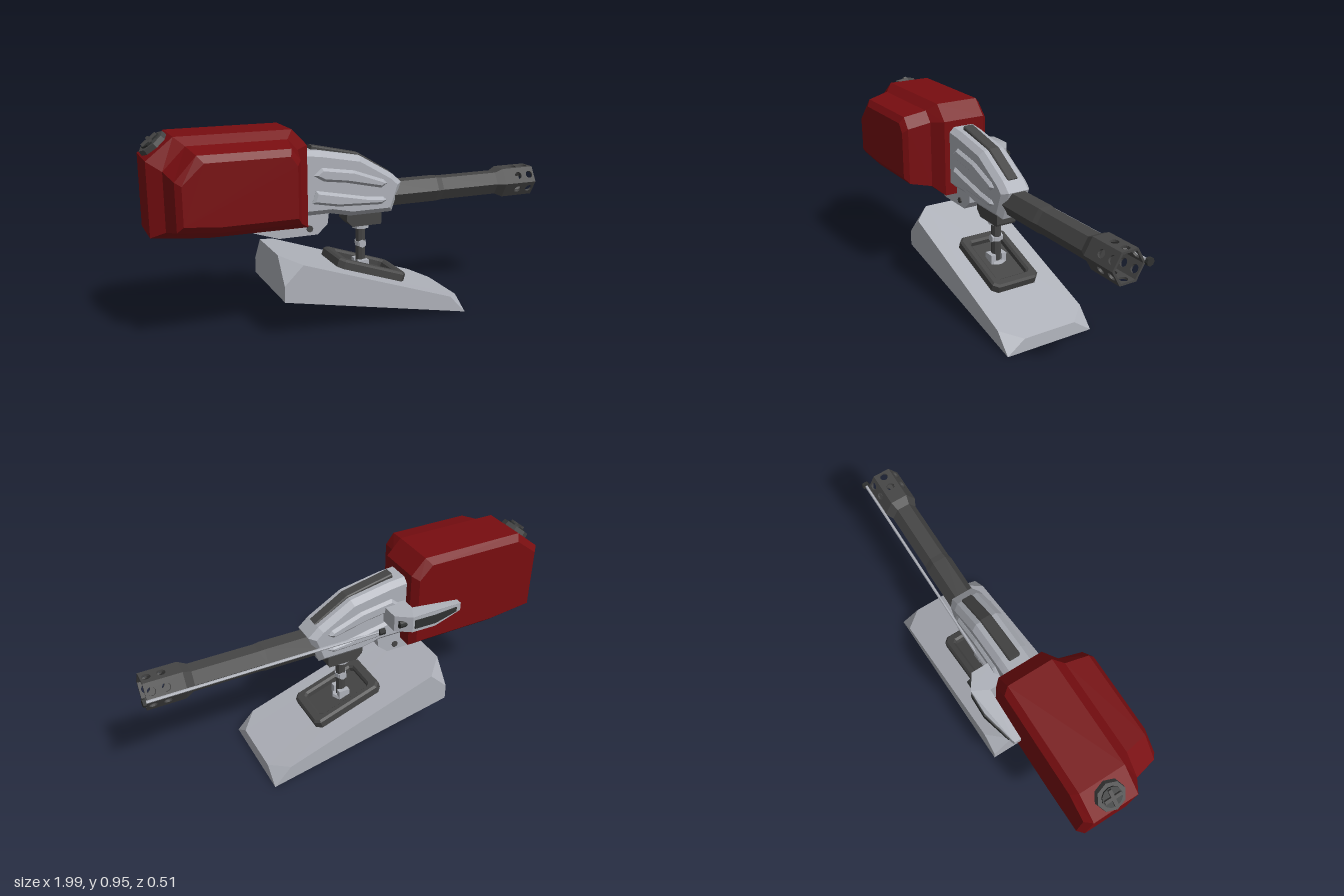
import * as THREE from 'three';

const red = new THREE.MeshStandardMaterial({ color: 0x780d10, name: 'deepRed' });
const light = new THREE.MeshStandardMaterial({ color: 0xaeb1b9, name: 'lightGrey', side: THREE.DoubleSide });
const dark = new THREE.MeshStandardMaterial({ color: 0x454545, name: 'darkGrey', side: THREE.DoubleSide });
const black = new THREE.MeshStandardMaterial({ color: 0x2f3131, name: 'charcoal' });
const ZC = -0.025; // centre plane of the gun

// Faceted mesh with a name and position
function part(parent, name, geo, mat, x = 0, y = 0, z = 0) {
  const g = geo.index ? geo.toNonIndexed() : geo;
  g.computeVertexNormals();
  const m = new THREE.Mesh(g, mat);
  m.name = name;
  m.position.set(x, y, z);
  parent.add(m);
  return m;
}

function outline(pts) {
  return new THREE.Shape(pts.map(([x, y]) => new THREE.Vector2(x, y)));
}

// Outline in x-y, extruded symmetrically about z = 0, with an optional chamfer inside the outline
function slab(pts, width, bevel = 0) {
  const depth = width - 2 * bevel;
  const g = new THREE.ExtrudeGeometry(outline(pts), {
    depth, bevelEnabled: bevel > 0, bevelSize: bevel, bevelThickness: bevel, bevelOffset: -bevel, bevelSegments: 1,
  });
  return g.translate(0, 0, -depth / 2);
}

// Cylinder along x from x0 to x1
function tubeX(x0, x1, r0, r1, sides, open = false) {
  return new THREE.CylinderGeometry(r1, r0, x1 - x0, sides, 1, open).rotateZ(-Math.PI / 2).translate((x0 + x1) / 2, 0, 0);
}

// Flat polygons fanned into triangles
function fromPolygons(polys) {
  const v = [];
  for (const p of polys) for (let i = 1; i < p.length - 1; i++) v.push(...p[0], ...p[i], ...p[i + 1]);
  const g = new THREE.BufferGeometry();
  g.setAttribute('position', new THREE.Float32BufferAttribute(v, 3));
  return g;
}

// Skin over counter-clockwise x-y sections given in order of rising z
function loft(sections) {
  const rings = sections.map(([z, pts]) => pts.map(([x, y]) => [x, y, z]));
  const polys = [[...rings[0]].reverse(), rings[rings.length - 1]];
  for (let i = 0; i < rings.length - 1; i++) {
    rings[i].forEach((a, j) => {
      const k = (j + 1) % rings[i].length;
      polys.push([a, rings[i][k], rings[i + 1][k], rings[i + 1][j]]);
    });
  }
  return fromPolygons(polys);
}

// Chamfered rectangle
function rect(l, w, c) {
  const a = l / 2, b = w / 2;
  return [[-a + c, -b], [a - c, -b], [a, -b + c], [a, b - c], [a - c, b], [-a + c, b], [-a, b - c], [-a, -b + c]];
}

function makeBase() {
  const g = new THREE.Group();
  g.name = 'base';
  // Wedge shell, open underneath
  const P = (x, y, w) => [x, y, w];
  const A = P(-0.44, 0.385, 0.138), B = P(-0.35, 0.354, 0.23), H = P(-0.44, 0.265, 0.23);
  const C = P(-0.44, 0.19, 0.23), D = P(0.405, 0.093, 0.23), E = P(0.485, 0.065, 0.138), F = P(0.49, 0.002, 0.23);
  const flip = ([x, y, z]) => [x, y, -z];
  const sides = [[H, C, F, D, B], [A, H, B], [D, F, E]];
  const polys = [
    ...sides, ...sides.map((p) => p.map(flip).reverse()),
    [A, B, D, E, flip(E), flip(D), flip(B), flip(A)],
    [E, F, flip(F), flip(E)],
    [A, flip(A), flip(H), flip(C), C, H],
  ];
  part(g, 'wedgeShell', fromPolygons(polys), light, 0, 0, ZC);

  // Recessed mounting plate lying on the slope
  const tray = new THREE.Group();
  tray.name = 'mountingPlate';
  tray.position.set(0.035, 0.22, ZC);
  tray.rotation.z = -Math.atan(0.346);
  const frame = outline(rect(0.37, 0.255, 0.025));
  frame.holes.push(new THREE.Path(rect(0.27, 0.17, 0.012).map(([x, y]) => new THREE.Vector2(x, y))));
  const rim = new THREE.ExtrudeGeometry(frame, {
    depth: 0.035, bevelSize: 0.01, bevelThickness: 0.01, bevelOffset: -0.01, bevelSegments: 1,
  }).rotateX(-Math.PI / 2);
  part(tray, 'plateRim', rim, dark);
  part(tray, 'plateFloor', new THREE.BoxGeometry(0.3, 0.03, 0.2), dark, 0, -0.003, 0);
  part(tray, 'undersideNut', new THREE.CylinderGeometry(0.05, 0.05, 0.03, 6), light, 0, -0.03, 0);
  g.add(tray);
  return g;
}

function makePivot() {
  const g = new THREE.Group();
  g.name = 'pivot';
  g.position.set(0.025, 0, ZC);
  part(g, 'post', new THREE.CylinderGeometry(0.024, 0.024, 0.23, 8), dark, 0, 0.325, 0);
  part(g, 'postCollar', new THREE.CylinderGeometry(0.04, 0.045, 0.012, 8), light, 0, 0.232, 0);
  for (const s of [-1, 1]) part(g, 'postClamp', new THREE.BoxGeometry(0.055, 0.055, 0.026), light, 0, 0.245, s * 0.029);
  part(g, 'postJoint', new THREE.CylinderGeometry(0.02, 0.02, 0.06, 6).rotateX(Math.PI / 2), light, 0, 0.352, 0);
  part(g, 'jointRing', new THREE.CylinderGeometry(0.028, 0.028, 0.022, 8), light, 0, 0.352, 0);
  part(g, 'swivelNut', new THREE.CylinderGeometry(0.042, 0.042, 0.022, 8), light, 0, 0.442, 0);
  part(g, 'swivelBlock', slab([[-0.09, 0.48], [-0.06, 0.45], [0.085, 0.45], [0.09, 0.46], [0.09, 0.52], [-0.09, 0.52]], 0.104), dark);
  return g;
}

function makeTank() {
  const g = new THREE.Group();
  g.name = 'ammoTank';
  const full = [[-0.99, 0.52], [-0.75, 0.493], [-0.28, 0.49], [-0.28, 0.87], [-0.35, 0.945], [-0.87, 0.945], [-0.99, 0.85]];
  const inset = (d) => full.map(([x, y]) => [-0.635 + (x + 0.635) * (1 - d / 0.355), 0.718 + (y - 0.718) * (1 - d / 0.227)]);
  part(g, 'tankShell', loft([
    [-0.168, inset(0.028)], [-0.138, full], [0.08, full],
    [0.125, [[-0.93, 0.55], [-0.72, 0.53], [-0.34, 0.53], [-0.34, 0.86], [-0.385, 0.91], [-0.83, 0.91], [-0.93, 0.81]]],
    [0.235, [[-0.905, 0.573], [-0.72, 0.555], [-0.365, 0.555], [-0.365, 0.835], [-0.405, 0.888], [-0.81, 0.888], [-0.905, 0.785]]],
    [0.258, [[-0.88, 0.6], [-0.72, 0.585], [-0.385, 0.585], [-0.385, 0.815], [-0.415, 0.858], [-0.785, 0.858], [-0.88, 0.77]]],
  ]), red);
  // Filler cap on the rear chamfer
  const cap = new THREE.Group();
  cap.name = 'fillerCap';
  cap.position.set(-0.93, 0.897, -0.03);
  cap.rotation.z = Math.atan2(0.095, 0.12);
  part(cap, 'capRim', new THREE.CylinderGeometry(0.066, 0.07, 0.03, 8), dark, 0, 0.008, 0);
  part(cap, 'capDisc', new THREE.CylinderGeometry(0.046, 0.046, 0.012, 12), black, 0, 0.024, 0);
  for (const a of [0, Math.PI / 2]) part(cap, 'capHandle', new THREE.BoxGeometry(0.08, 0.02, 0.016), dark, 0, 0.03, 0).rotation.y = a;
  g.add(cap);
  return g;
}

function makeReceiver() {
  const g = new THREE.Group();
  g.name = 'receiver';
  g.position.z = ZC;
  part(g, 'receiverBody', slab([[-0.32, 0.53], [-0.15, 0.53], [-0.05, 0.508], [0.165, 0.508], [0.215, 0.65],
    [0.165, 0.695], [0, 0.792], [-0.2, 0.83], [-0.32, 0.842]], 0.155, 0.025), light);
  // Raised side ribs
  const ribs = [
    [[-0.24, 0.72], [-0.19, 0.69], [-0.08, 0.675], [0.1, 0.635], [0.13, 0.655], [0.11, 0.675], [-0.04, 0.73], [-0.2, 0.755]],
    [[-0.25, 0.59], [-0.12, 0.565], [0.1, 0.555], [0.13, 0.575], [0.11, 0.59], [0.02, 0.6], [-0.23, 0.65]],
  ];
  for (const r of ribs) part(g, 'sideRib', slab(r, 0.184, 0.013), light);
  part(g, 'topRail', slab([[-0.24, 0.81], [0, 0.77], [0.155, 0.675], [0.17, 0.698], [0.005, 0.8], [-0.23, 0.852]], 0.057, 0.005), dark);
  // Lower hinge lug with its bolt
  part(g, 'hingeLug', slab([[-0.52, 0.47], [-0.4, 0.43], [-0.21, 0.43], [-0.16, 0.475], [-0.15, 0.55], [-0.52, 0.55]], 0.08), light);
  part(g, 'hingeBolt', new THREE.CylinderGeometry(0.016, 0.016, 0.092, 8).rotateX(Math.PI / 2), dark, -0.25, 0.462, 0);
  return g;
}

function makeSight() {
  const g = new THREE.Group();
  g.name = 'sideSight';
  // Arm bending back along the tank, narrowing to its tail
  const flat = (pts, h) => new THREE.ExtrudeGeometry(outline(pts), { depth: h, bevelEnabled: false })
    .rotateX(-Math.PI / 2).translate(0, -h / 2, 0);
  const arm = flat([[-0.16, 0.07], [-0.16, 0.2], [-0.23, 0.248], [-0.35, 0.25], [-0.52, 0.205], [-0.52, 0.172], [-0.27, 0.172], [-0.27, 0.07]].reverse(), 0.08);
  const panel = flat([[-0.24, 0.24], [-0.24, 0.253], [-0.35, 0.255], [-0.49, 0.218], [-0.49, 0.205], [-0.35, 0.24]].reverse(), 0.044);
  for (const geo of [arm, panel]) {
    const p = geo.attributes.position;
    for (let i = 0; i < p.count; i++) if (p.getX(i) < -0.4) p.setY(i, p.getY(i) * 0.5 - 0.01);
  }
  part(g, 'sightArm', arm, light, 0, 0.686, 0);
  part(g, 'sightPanel', panel, black, 0, 0.686, 0);
  part(g, 'sightLens', tubeX(-0.215, -0.175, 0.019, 0.019, 10), black, 0, 0.686, -0.216);
  // Thin rod with end knobs
  part(g, 'sightRod', tubeX(-0.14, 0.99, 0.007, 0.007, 6), light, 0, 0.598, -0.113);
  part(g, 'rodTip', tubeX(0.983, 0.998, 0.019, 0.019, 8), black, 0, 0.598, -0.113);
  part(g, 'rodKnob', tubeX(-0.16, -0.13, 0.019, 0.019, 8), black, 0, 0.598, -0.113);
  return g;
}

function makeBarrel() {
  const g = new THREE.Group();
  g.name = 'barrel';
  g.position.set(0, 0.589, ZC);
  const R = 0.083, apothem = R * Math.cos(Math.PI / 6);
  part(g, 'barrelRear', tubeX(0.15, 0.42, 0.067, 0.067, 6, true), dark);
  part(g, 'barrelStep', tubeX(0.42, 0.45, 0.067, 0.063, 6, true), dark);
  part(g, 'barrelTube', tubeX(0.45, 0.76, 0.063, 0.063, 6, true), dark);
  part(g, 'muzzleFlare', tubeX(0.76, 0.8, 0.063, R, 6, true), dark);
  // Six perforated plates form the muzzle
  const face = outline([[0.8, -R / 2], [0.975, -R / 2], [0.975, R / 2], [0.8, R / 2]]);
  for (const x of [0.882, 0.947]) face.holes.push(new THREE.Path().absarc(x, 0, 0.019, 0, Math.PI * 2, true));
  for (let i = 0; i < 6; i++) {
    const plate = new THREE.ExtrudeGeometry(face, { depth: 0.01, bevelEnabled: false, curveSegments: 8 });
    plate.translate(0, 0, apothem - 0.01);
    part(g, 'muzzlePlate', plate, dark).rotation.x = Math.PI / 6 + (i * Math.PI) / 3;
  }
  return g;
}

export function createModel() {
  const model = new THREE.Group();
  model.name = 'mountedGun';
  model.add(makeBase(), makePivot(), makeTank(), makeReceiver(), makeSight(), makeBarrel());
  return model;
}
